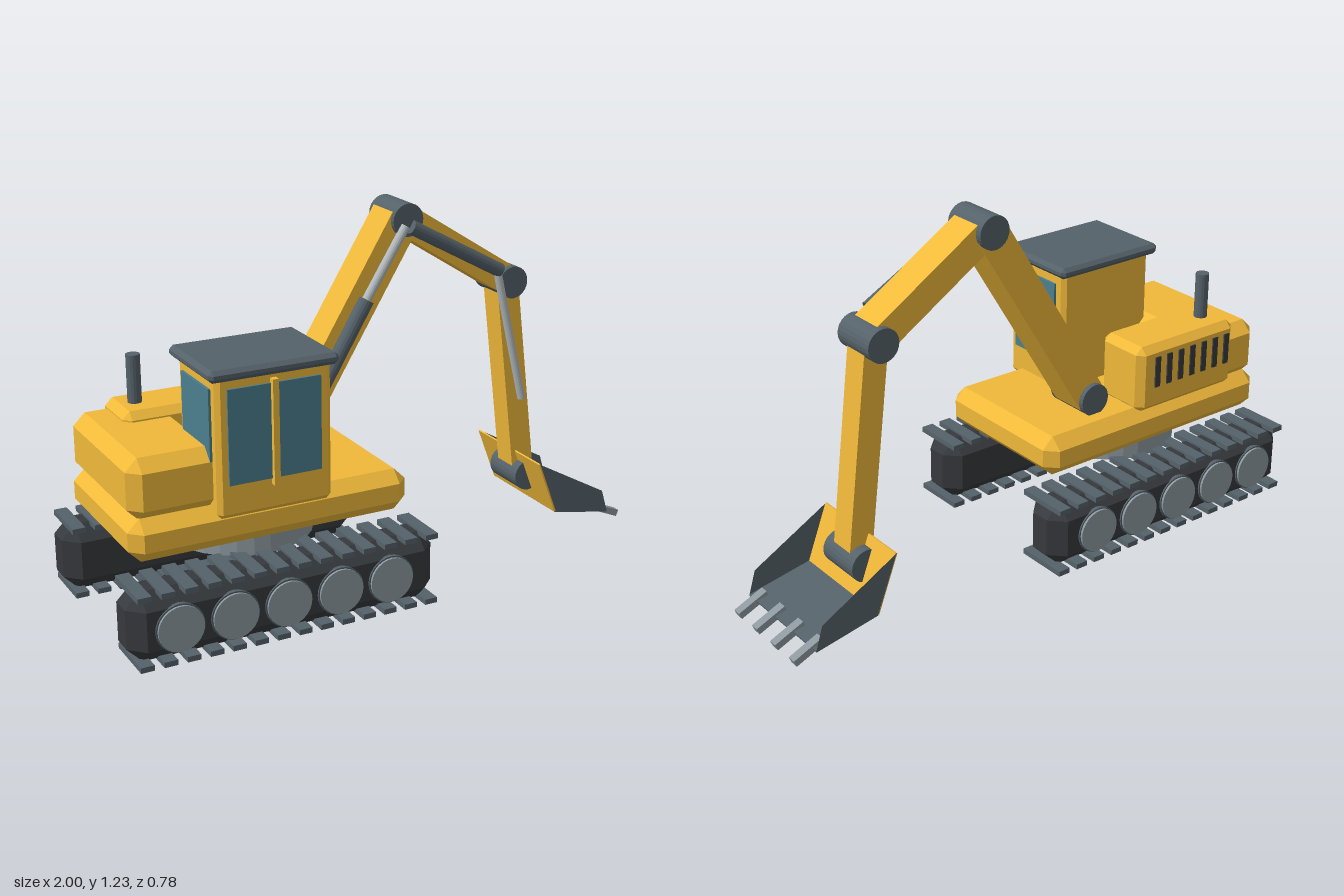
import * as THREE from 'three';
import { ConvexGeometry } from 'three/addons/geometries/ConvexGeometry.js';

const mat = (color, extra = {}) => {
  const m = new THREE.MeshStandardMaterial({ flatShading: true, ...extra });
  m.color.set(color);
  return m;
};

export function createModel() {
  const root = new THREE.Group();
  root.name = 'excavator';
  const yellow = mat(0xf0b93a), steel = mat(0x55626a), rubber = mat(0x36393d);
  const metal = mat(0x8d999f), glass = mat(0x4b7f90), rodMetal = mat(0xb4bbbe);
  const yellowSheet = mat(0xf0b93a, { side: THREE.DoubleSide });
  const steelSheet = mat(0x55626a, { side: THREE.DoubleSide });

  const add = (name, geo, material, parent = root) => {
    const mesh = new THREE.Mesh(geo, material);
    mesh.name = name;
    parent.add(mesh);
    return mesh;
  };
  const group = (name) => {
    const g = new THREE.Group();
    g.name = name;
    root.add(g);
    return g;
  };
  // Box given by its ranges on each axis
  const box = (name, x0, x1, y0, y1, z0, z1, material, parent) => {
    const m = add(name, new THREE.BoxGeometry(x1 - x0, y1 - y0, z1 - z0), material, parent);
    m.position.set((x0 + x1) / 2, (y0 + y1) / 2, (z0 + z1) / 2);
    return m;
  };
  // Box with every edge and corner chamfered by c
  const chamferBox = (name, x0, x1, y0, y1, z0, z1, c, material, parent) => {
    const h = [(x1 - x0) / 2, (y1 - y0) / 2, (z1 - z0) / 2];
    const pts = [];
    for (const sx of [-1, 1]) for (const sy of [-1, 1]) for (const sz of [-1, 1])
      for (let axis = 0; axis < 3; axis++) {
        const p = h.map((v, i) => (i === axis ? v : v - c));
        pts.push(new THREE.Vector3(sx * p[0], sy * p[1], sz * p[2]));
      }
    const m = add(name, new ConvexGeometry(pts), material, parent);
    m.position.set((x0 + x1) / 2, (y0 + y1) / 2, (z0 + z1) / 2);
    return m;
  };
  // Cylinder lying along z
  const pin = (name, x, y, z, r, width, material, parent, sides = 24) => {
    const m = add(name, new THREE.CylinderGeometry(r, r, width, sides), material, parent);
    m.rotation.x = Math.PI / 2;
    m.position.set(x, y, z);
    return m;
  };
  // Aligns a part's y axis from a to b in the xy plane
  const span = (mesh, a, b, z) => {
    mesh.position.set((a[0] + b[0]) / 2, (a[1] + b[1]) / 2, z);
    mesh.rotation.z = Math.atan2(b[1] - a[1], b[0] - a[0]) - Math.PI / 2;
  };
  const dist = (a, b) => Math.hypot(b[0] - a[0], b[1] - a[1]);
  const beam = (name, a, b, z, thick, width, material, parent) =>
    span(add(name, new THREE.BoxGeometry(thick, dist(a, b), width), material, parent), a, b, z);
  const tube = (name, a, b, z, r, material, parent) =>
    span(add(name, new THREE.CylinderGeometry(r, r, dist(a, b), 16), material, parent), a, b, z);

  // Crawler tracks with pads and road wheels
  for (const s of [-1, 1]) {
    const track = group(s > 0 ? 'frontTrack' : 'backTrack');
    chamferBox('trackBody', -1, 0.05, 0.015, 0.245, s * 0.29 - 0.085, s * 0.29 + 0.085, 0.05, rubber, track);
    for (let i = 0; i < 14; i++) {
      const x = -0.957 + i * 0.0752;
      for (const y of [0.017, 0.243])
        box('trackPad', x - 0.022, x + 0.022, y - 0.009, y + 0.009, s * 0.29 - 0.095, s * 0.29 + 0.095, steel, track);
    }
    for (let i = 0; i < 5; i++) {
      const x = -0.845 + i * 0.18;
      pin('wheelRim', x, 0.125, s * 0.36, 0.08, 0.04, steel, track, 28);
      pin('roadWheel', x, 0.125, s * 0.366, 0.075, 0.044, metal, track, 28);
    }
  }

  // Turntable and upper body
  const ring = add('turntable', new THREE.CylinderGeometry(0.24, 0.24, 0.07, 28), metal);
  ring.position.set(-0.48, 0.275, 0);
  chamferBox('bodyDeck', -0.95, 0, 0.3, 0.44, -0.28, 0.28, 0.04, yellow);
  chamferBox('counterweight', -0.945, -0.64, 0.43, 0.63, -0.27, 0.27, 0.04, yellow);
  chamferBox('engineCover', -0.83, -0.39, 0.42, 0.66, -0.272, -0.065, 0.025, yellow);
  for (let i = 0; i < 7; i++) {
    const x = -0.785 + i * 0.053;
    box('engineVent', x - 0.011, x + 0.011, 0.51, 0.62, -0.277, -0.262, rubber);
  }
  const pipe = add('exhaustPipe', new THREE.CylinderGeometry(0.023, 0.023, 0.2, 16), steel);
  pipe.position.set(-0.757, 0.72, -0.17);

  // Cab
  const cab = group('cab');
  chamferBox('cabShell', -0.68, -0.295, 0.41, 0.865, 0.02, 0.308, 0.015, yellow, cab);
  chamferBox('cabRoof', -0.705, -0.275, 0.852, 0.89, 0, 0.327, 0.013, steel, cab);
  box('sideWindow', -0.645, -0.335, 0.52, 0.825, 0.3, 0.315, glass, cab);
  box('windowPillar', -0.503, -0.483, 0.5, 0.84, 0.305, 0.33, yellow, cab);
  box('windscreen', -0.3, -0.287, 0.525, 0.82, 0.06, 0.27, glass, cab);
  box('rearWindow', -0.688, -0.675, 0.525, 0.82, 0.06, 0.27, glass, cab);

  // Boom, arm and stick with their joints
  const foot = [-0.26, 0.49], peak = [0.162, 1.177], elbow = [0.578, 0.914], wrist = [0.665, 0.19];
  const armZ = -0.113;
  const arm = group('diggingArm');
  beam('boom', foot, peak, armZ, 0.115, 0.13, yellow, arm);
  beam('arm', peak, elbow, armZ, 0.1, 0.12, yellow, arm);
  beam('stick', elbow, wrist, armZ, 0.085, 0.092, yellow, arm);
  for (const p of [foot, peak, elbow, wrist]) pin('armJoint', p[0], p[1], armZ, 0.056, 0.166, steel, arm);

  // Hydraulic rams beside the arm
  const ramZ = -0.027;
  tube('boomRamBarrel', [-0.275, 0.465], [0.005, 0.93], ramZ, 0.026, steel, arm);
  tube('boomRamRod', [0.005, 0.93], [0.15, 1.16], ramZ, 0.016, rodMetal, arm);
  tube('armRamBarrel', [0.17, 1.155], [0.52, 0.965], ramZ, 0.024, steel, arm);
  tube('stickRamRod', [0.51, 0.96], [0.622, 0.49], ramZ, 0.014, rodMetal, arm);

  // Open bucket of thin plates
  const bucket = group('bucket');
  const top = [0.63, 0.277], heel = [0.703, 0.085], lip = [0.93, 0.042], cheek = [0.905, 0.125];
  const side = new THREE.Shape([top, heel, lip, cheek].map((p) => new THREE.Vector2(...p)));
  for (const s of [-1, 1])
    add('bucketSide', new THREE.ShapeGeometry(side), steelSheet, bucket).position.z = -0.11 + s * 0.2;
  beam('bucketBack', top, heel, -0.11, 0.006, 0.4, yellowSheet, bucket);
  beam('bucketFloor', heel, lip, -0.11, 0.006, 0.4, steelSheet, bucket);
  for (let i = 0; i < 4; i++)
    beam('bucketTooth', [0.89, 0.057], [0.993, 0.013], -0.275 + i * 0.11, 0.024, 0.03, metal, bucket);

  return root;
}
